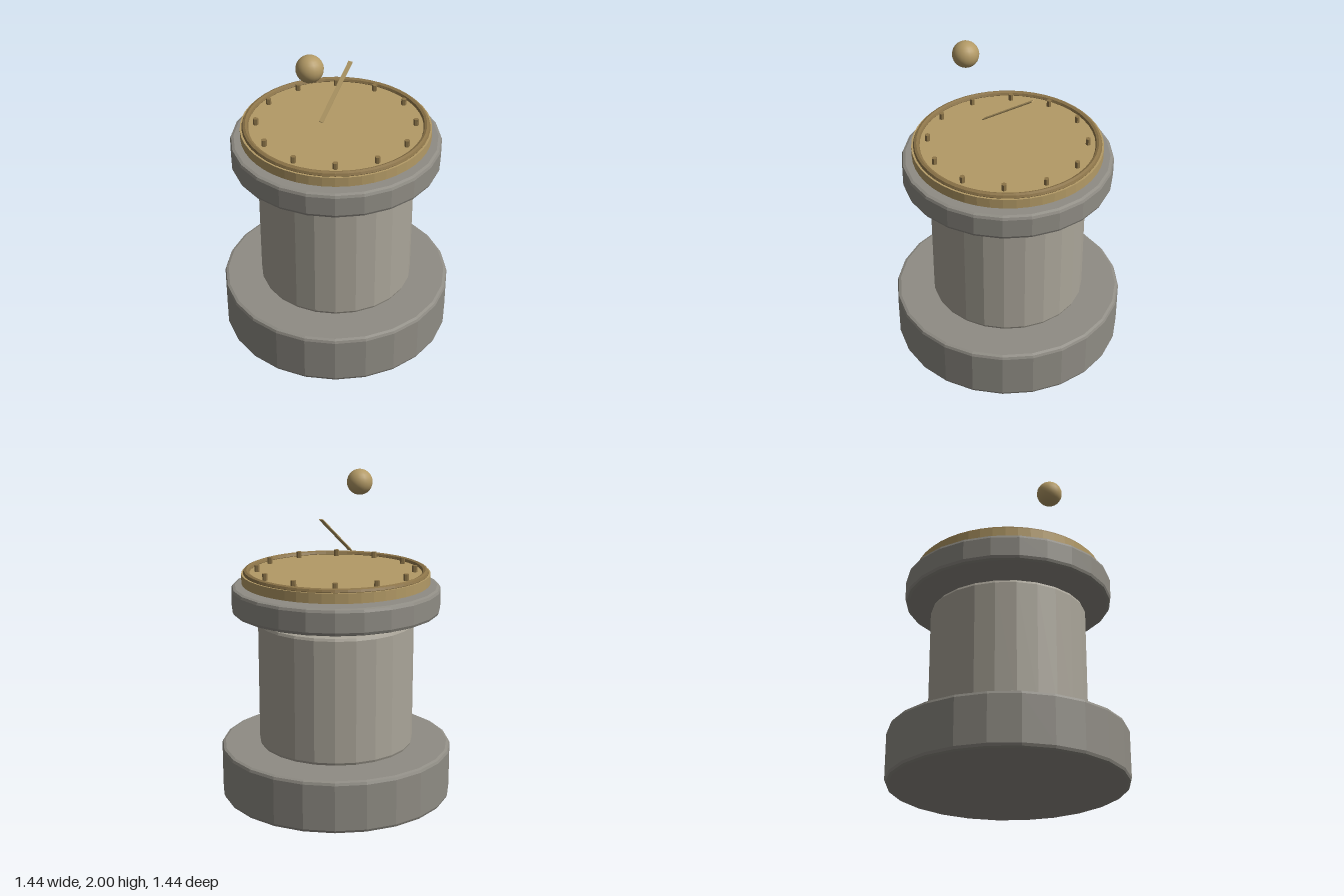
import * as THREE from 'three';

const material = (color, flatShading = true) => new THREE.MeshStandardMaterial({ color, flatShading });
const stone = material(0x8f8c84);
const paleStone = material(0xaaa599);
const brass = material(0xb39a66);
const darkBrass = material(0x8c7448);

export function createModel() {
  const model = new THREE.Group();

  const add = (name, geometry, mat, x = 0, y = 0, z = 0) => {
    const mesh = new THREE.Mesh(geometry, mat);
    mesh.name = name;
    mesh.position.set(x, y, z);
    model.add(mesh);
    return mesh;
  };

  // Solid drum with rounded rims, turned from a profile
  const drum = (radius, bottom, top, bevel, sides) => {
    const points = [new THREE.Vector2(0, bottom)];
    for (const [cy, start] of [[bottom + bevel, -Math.PI / 2], [top - bevel, 0]]) {
      for (let i = 0; i <= 2; i++) {
        const a = start + (i * Math.PI) / 4;
        points.push(new THREE.Vector2(radius - bevel + bevel * Math.cos(a), cy + bevel * Math.sin(a)));
      }
    }
    points.push(new THREE.Vector2(0, top));
    return new THREE.LatheGeometry(points, sides);
  };

  // Stone pedestal
  add('base', drum(0.72, 0, 0.325, 0.022, 24), stone);
  add('column', drum(0.48, 0.325, 1.12, 0.022, 24), paleStone);
  add('capital', drum(0.64, 1.17, 1.33, 0.022, 24), stone);

  // Dial plate with a raised rim
  add('dialPlate', new THREE.CylinderGeometry(0.576, 0.576, 0.06, 48), brass, 0, 1.377, 0);
  add('dialRim', new THREE.TorusGeometry(0.545, 0.02, 8, 48).rotateX(Math.PI / 2), darkBrass, 0, 1.41, 0);

  // Twelve hour studs
  for (let i = 0; i < 12; i++) {
    const a = (i * Math.PI) / 6;
    add('hourStud', new THREE.CylinderGeometry(0.016, 0.016, 0.042, 6), darkBrass,
      0.48 * Math.sin(a), 1.426, 0.48 * Math.cos(a));
  }

  // Slanted pointer blade, rising toward the back
  const pointer = add('pointer', new THREE.BoxGeometry(0.027, 0.006, 0.42), brass, 0, 1.633, 0);
  pointer.rotation.x = THREE.MathUtils.degToRad(35);

  // Ball floating above the front
  add('ball', new THREE.SphereGeometry(0.08, 20, 14), material(0xb39a66, false), 0, 1.92, 0.29);

  return model;
}
